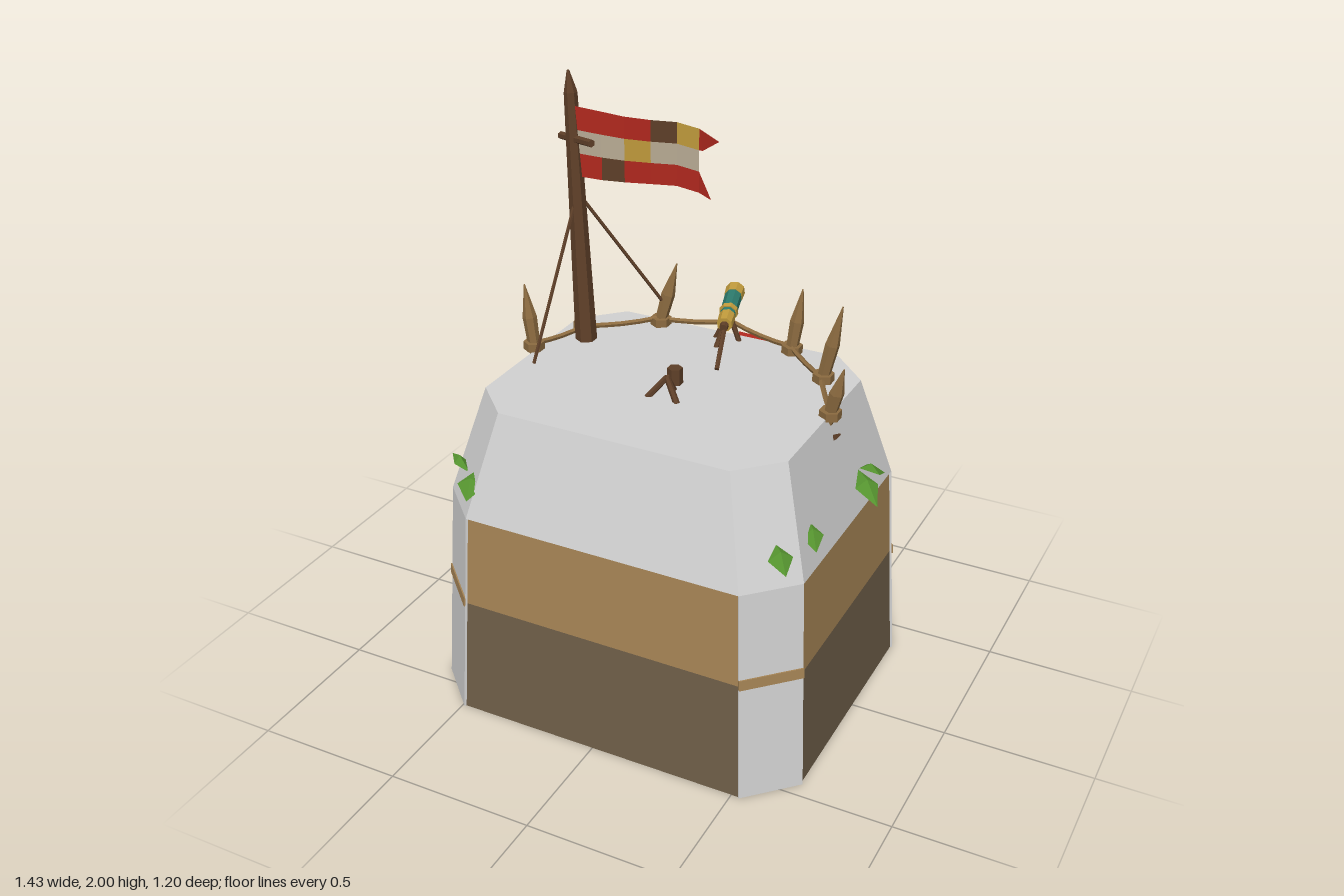
import * as THREE from 'three';

const mat = (name, color, side = THREE.FrontSide) => {
  const m = new THREE.MeshStandardMaterial({ color, flatShading: true, side });
  m.name = name;
  return m;
};
const V = (x, y, z) => new THREE.Vector3(x, y, z);

export function createModel() {
  const M = {
    stone: mat('pale stone', 0xd2d2d2),
    clay: mat('tan clay', 0xa68455),
    earth: mat('dark earth', 0x6e5e48),
    wood: mat('dark wood', 0x5e3f28),
    stake: mat('light wood and rope', 0x8c6b40),
    red: mat('red cloth', 0xb0281e, THREE.DoubleSide),
    cream: mat('cream cloth', 0xb8ab94, THREE.DoubleSide),
    yellow: mat('yellow brass', 0xc09a3c, THREE.DoubleSide),
    teal: mat('teal', 0x2c7a6c),
    green: mat('leaf green', 0x55932f, THREE.DoubleSide),
  };
  const darkCloth = M.wood;
  const root = new THREE.Group();
  root.name = 'lookout';

  const add = (geo, material, name, parent = root) => {
    const mesh = new THREE.Mesh(geo, material);
    mesh.name = name;
    parent.add(mesh);
    return mesh;
  };
  const group = (name) => {
    const g = new THREE.Group();
    g.name = name;
    root.add(g);
    return g;
  };
  const fromPoints = (pts) => {
    const g = new THREE.BufferGeometry().setFromPoints(pts);
    g.computeVertexNormals();
    return g;
  };
  // Closed solid through cross-sections, listed from bottom to top
  const loft = (rings) => {
    const pts = [], n = rings[0].length, top = rings[rings.length - 1];
    for (let k = 0; k + 1 < rings.length; k++) {
      for (let i = 0; i < n; i++) {
        const j = (i + 1) % n, a = rings[k], b = rings[k + 1];
        pts.push(a[i], a[j], b[j], a[i], b[j], b[i]);
      }
    }
    for (let i = 1; i + 1 < n; i++) {
      pts.push(top[0], top[i], top[i + 1], rings[0][0], rings[0][i + 1], rings[0][i]);
    }
    return fromPoints(pts);
  };
  // Tapered rod between two points
  const rod = (a, b, r0, r1, material, name, parent = root, sides = 6) => {
    const d = b.clone().sub(a);
    const m = add(new THREE.CylinderGeometry(r1, r0, d.length(), sides), material, name, parent);
    m.position.copy(a).addScaledVector(d, 0.5);
    m.quaternion.setFromUnitVectors(V(0, 1, 0), d.normalize());
    return m;
  };

  // Octagonal cross-section of the tower at height y
  const levels = [[0, 0.663, 0.56, 0.51, 0.408], [0.73, 0.625, 0.523, 0.478, 0.375], [1.085, 0.527, 0.425, 0.398, 0.295]];
  const ring = (y, s = 1) => {
    const k = y > 0.73 ? 1 : 0, lo = levels[k], hi = levels[k + 1];
    const t = (y - lo[0]) / (hi[0] - lo[0]);
    const [hx, hz, fx, fz] = [1, 2, 3, 4].map((i) => THREE.MathUtils.lerp(lo[i], hi[i], t) * s);
    return [[-fx, hz], [fx, hz], [hx, fz], [hx, -fz], [fx, -hz], [-fx, -hz], [-hx, -fz], [-hx, fz]]
      .map(([x, z]) => V(x + 0.018, y, z + 0.037));
  };

  // Tower body
  const tower = group('tower');
  add(loft([ring(0, 0.99), ring(0.41, 0.99)]), M.earth, 'lowerWall', tower);
  add(loft([ring(0.41, 0.99), ring(0.73, 0.99)]), M.clay, 'upperWall', tower);
  add(loft([ring(0.73), ring(1.085)]), M.stone, 'stoneCap', tower);
  for (const i of [1, 3, 5, 7]) {
    const j = (i + 1) % 8;
    const corner = (y, s = 1) => {
      const o = ring(y, s), q = ring(y, 0.95);
      return [o[i], o[j], q[j], q[i]];
    };
    add(loft([corner(0), corner(0.73)]), M.stone, 'cornerPost', tower);
    add(loft([corner(0.4, 1.006), corner(0.435, 1.006)]), M.clay, 'cornerBand', tower);
  }

  // Flagpole with cross peg and guy ropes
  const pole = group('flagpole');
  const foot = V(-0.4, 1.07, -0.13), neck = V(-0.453, 1.93, -0.163), tip = V(-0.462, 2, -0.166);
  rod(foot, neck, 0.037, 0.022, M.wood, 'pole', pole);
  rod(neck, tip, 0.022, 0.004, M.wood, 'poleTip', pole);
  rod(V(-0.51, 1.77, -0.19), V(-0.35, 1.79, -0.11), 0.013, 0.013, M.wood, 'crossPeg', pole);
  rod(V(-0.43, 1.6, -0.15), V(-0.46, 1.085, 0.115), 0.006, 0.006, M.wood, 'guyRope', pole, 5);
  rod(V(-0.43, 1.6, -0.15), V(-0.22, 1.18, -0.34), 0.006, 0.006, M.wood, 'guyRope', pole, 5);

  // Patched flag: columns of x, z, top and bottom height
  const flag = group('flag');
  const cols = [[-0.43, -0.15, 1.89, 1.655], [-0.345, -0.165, 1.88, 1.65], [-0.27, -0.18, 1.87, 1.65],
    [-0.2, -0.228, 1.855, 1.64], [-0.13, -0.275, 1.845, 1.63], [-0.05, -0.275, 1.835, 1.62]];
  const { red: R, cream: C, yellow: Y } = M, D = darkCloth;
  const patches = [[R, R, R, D, Y], [C, C, Y, C, C], [R, D, R, R, R]];
  const at = (c, f) => V(c[0], c[2] + (c[3] - c[2]) * f / 3, c[1]);
  patches.forEach((row, r) => row.forEach((m, c) => {
    const a = at(cols[c], r + 1), b = at(cols[c + 1], r + 1), d = at(cols[c + 1], r), e = at(cols[c], r);
    const pts = [a, b, d, a, d, e];
    if (m === D) pts.push(a, d, b, a, e, d);
    add(fromPoints(pts), m, 'flagPatch', flag);
  }));
  const end = cols[5];
  add(fromPoints([at(end, 0), at(end, 1), V(-0.035, 1.765, -0.27), at(end, 0), V(-0.035, 1.765, -0.27), V(0.037, 1.815, -0.24)]), R, 'flagTail', flag);
  add(fromPoints([at(end, 2), at(end, 3), V(0.004, 1.61, -0.255)]), R, 'flagTail', flag);

  // Sharpened stakes: foot x, z then tip x, y, z
  const fence = group('fence');
  const stakes = [[-0.51, 0.02, -0.55, 1.31, 0.01], [-0.43, -0.17, -0.455, 1.38, -0.195], [-0.235, -0.34, -0.18, 1.31, -0.375],
    [0.262, -0.34, 0.287, 1.31, -0.37], [0.435, -0.18, 0.495, 1.36, -0.195], [0.54, 0.01, 0.587, 1.255, 0.015]];
  for (const [x, z, tx, ty, tz] of stakes) {
    const a = V(x, 1.06, z), b = V(tx, ty, tz), mid = a.clone().lerp(b, 0.55);
    rod(a, mid, 0.019, 0.024, M.stake, 'stake', fence);
    rod(mid, b, 0.024, 0.002, M.stake, 'stakePoint', fence);
    const knot = a.clone().lerp(b, 0.16);
    rod(knot.clone().setY(knot.y - 0.014), knot.clone().setY(knot.y + 0.014), 0.036, 0.036, M.stake, 'ropeKnot', fence);
  }
  // Sagging rope from stake to stake
  const knots = stakes.map(([x, z]) => V(x, 1.11, z));
  knots.splice(3, 0, V(0.01, 1.115, -0.42));
  for (let i = 0; i + 1 < knots.length; i++) {
    const mid = knots[i].clone().lerp(knots[i + 1], 0.5).setY(1.095);
    const curve = new THREE.QuadraticBezierCurve3(knots[i], mid, knots[i + 1]);
    add(new THREE.TubeGeometry(curve, 4, 0.009, 5), M.stake, 'fenceRope', fence);
  }

  // Spyglass on its stand
  const glass = group('spyglass');
  const s0 = V(-0.007, 1.205, -0.48), s1 = V(0.058, 1.18, -0.255);
  const along = (t) => s0.clone().lerp(s1, t);
  [[0, 0.2, 0.034, M.yellow], [0.2, 0.6, 0.03, M.teal], [0.6, 0.68, 0.033, M.yellow],
    [0.68, 0.75, 0.027, M.teal], [0.75, 1, 0.028, M.yellow], [1, 1.1, 0.015, M.wood]]
    .forEach(([a, b, r, m]) => rod(along(a), along(b), r, r * 0.94, m, 'spyglassSection', glass, 8));
  rod(V(0.058, 1.18, -0.26), V(0.1, 1.09, -0.11), 0.009, 0.008, M.wood, 'standLeg', glass);
  for (const [x, z] of [[-0.015, -0.34], [0.07, -0.35], [0.02, -0.27]]) {
    rod(V(x, 1.08, z), V(0.03, 1.18, -0.35), 0.009, 0.009, M.wood, 'standLeg', glass);
  }

  // Small stool and stump on the deck
  const stool = group('stool');
  for (const [x, z] of [[-0.02, 0.15], [0.085, 0.15], [0.035, 0.07]]) {
    rod(V(x, 1.08, z), V(0.035, 1.15, 0.12), 0.011, 0.01, M.wood, 'stoolLeg', stool);
  }
  rod(V(0.018, 1.08, 0.03), V(0.018, 1.14, 0.03), 0.027, 0.025, M.wood, 'stump', stool);

  // Cloth scrap and splinters caught on the rim
  const scraps = group('scraps');
  add(fromPoints([V(0.03, 1.075, -0.435), V(0.03, 1.05, -0.42), V(0.22, 1.06, -0.4),
    V(0.03, 1.075, -0.435), V(0.22, 1.06, -0.4), V(0.1, 1.07, -0.44)]), M.red, 'clothScrap', scraps);
  rod(V(0.03, 1.0, -0.42), V(0.13, 1.0, -0.415), 0.012, 0.006, M.stake, 'splinter', scraps, 4);
  rod(V(0.565, 1.015, 0.02), V(0.572, 1.01, -0.02), 0.012, 0.003, M.wood, 'splinter', scraps, 4);

  // Folded leaves growing from the cap: base, tip, half width
  const leaves = group('leaves');
  [[0.61, 0.85, -0.11, 0.66, 0.79, -0.22, 0.04], [0.61, 0.85, -0.1, 0.715, 0.79, -0.005, 0.04],
    [0.6, 0.86, 0.28, 0.65, 0.8, 0.34, 0.035], [0.56, 0.86, 0.44, 0.62, 0.8, 0.5, 0.04],
    [-0.47, 0.86, 0.48, -0.45, 0.8, 0.565, 0.045], [-0.6, 0.86, 0.41, -0.51, 0.83, 0.45, 0.022],
    [-0.56, 0.85, -0.21, -0.715, 0.8, -0.22, 0.05], [-0.57, 0.85, -0.14, -0.58, 0.83, 0, 0.02],
    [-0.565, 0.85, -0.26, -0.565, 0.83, -0.37, 0.015], [-0.29, 0.85, -0.45, -0.28, 0.8, -0.6, 0.05],
    [-0.33, 0.85, -0.465, -0.47, 0.84, -0.465, 0.015], [0.35, 0.86, -0.46, 0.28, 0.79, -0.52, 0.04],
    [0.4, 0.86, -0.46, 0.49, 0.79, -0.515, 0.04]].forEach(([bx, by, bz, tx, ty, tz, w]) => {
    const base = V(bx, by, bz), end = V(tx, ty, tz);
    const side = end.clone().sub(base).cross(V(0, 1, 0)).normalize().multiplyScalar(w);
    const mid = base.clone().lerp(end, 0.45);
    const l = mid.clone().sub(side), r = mid.clone().add(side);
    mid.y += 0.025;
    add(fromPoints([base, mid, l, base, r, mid, mid, end, l, mid, r, end]), M.green, 'leaf', leaves);
  });

  return root;
}
